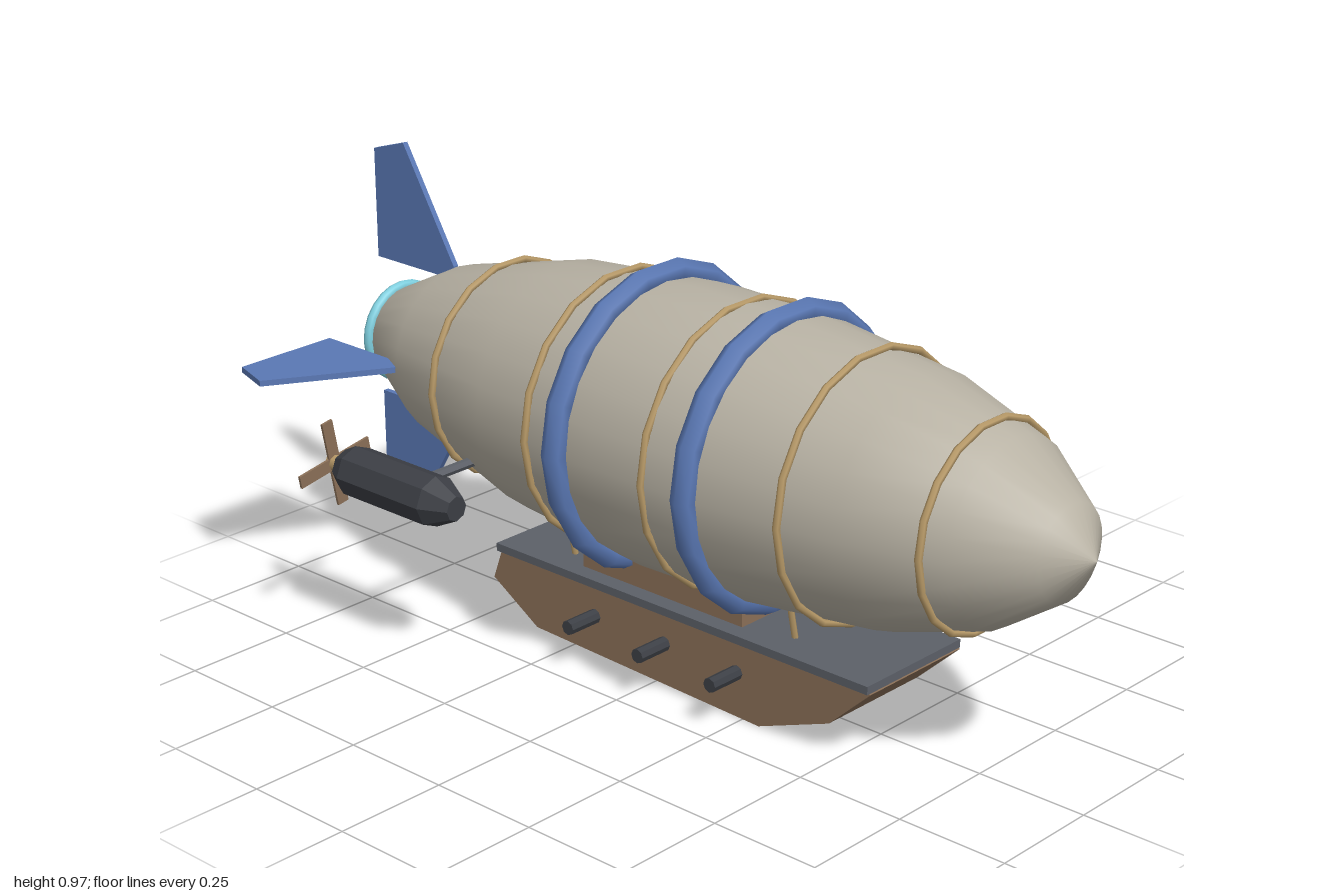
import * as THREE from 'three';

const AXIS_Y = 0.53;

const paint = (color, flatShading = false) => new THREE.MeshStandardMaterial({ color, flatShading });
const canvas = paint(0xb8b2a4);
const blue = paint(0x5a78b4);
const blueFlat = paint(0x5a78b4, true);
const rope = paint(0xb89a68);
const glow = paint(0x7fd0e0);
const wood = paint(0x8b7058, true);
const iron = paint(0x3c3f45, true);
const slate = paint(0x5c6068, true);

function add(parent, name, geometry, material, x = 0, y = 0, z = 0) {
  const mesh = new THREE.Mesh(geometry, material);
  mesh.name = name;
  mesh.position.set(x, y, z);
  parent.add(mesh);
  return mesh;
}

// Revolves [z, radius] pairs around the z axis, listed from back to front
function revolve(profile, sides) {
  const points = profile.map(([z, r]) => new THREE.Vector2(r, z));
  return new THREE.LatheGeometry(points, sides).rotateX(Math.PI / 2);
}

// Extrudes a [z, y] outline across x, centred
function slab(outline, width) {
  const shape = new THREE.Shape(outline.map(([z, y]) => new THREE.Vector2(z, y)));
  return new THREE.ExtrudeGeometry(shape, { depth: width, bevelEnabled: false })
    .translate(0, 0, -width / 2)
    .rotateY(-Math.PI / 2);
}

// Round bar between two points
function bar(parent, name, from, to, radius, material, sides = 6) {
  const a = new THREE.Vector3(...from);
  const b = new THREE.Vector3(...to);
  const mesh = add(parent, name, new THREE.CylinderGeometry(radius, radius, a.distanceTo(b), sides), material);
  mesh.position.copy(a).lerp(b, 0.5);
  mesh.quaternion.setFromUnitVectors(new THREE.Vector3(0, 1, 0), b.sub(a).normalize());
}

function createEngine() {
  const engine = new THREE.Group();
  engine.name = 'engine';
  const pod = [[-0.17, 0], [-0.17, 0.038], [-0.135, 0.056], [0.11, 0.056], [0.17, 0.027], [0.17, 0]];
  add(engine, 'enginePod', revolve(pod, 8), iron);
  add(engine, 'propellerHub', new THREE.CylinderGeometry(0.018, 0.018, 0.05, 8).rotateX(Math.PI / 2), rope, 0, 0, -0.19);
  const propeller = new THREE.Group();
  propeller.name = 'propeller';
  propeller.position.z = -0.205;
  propeller.rotation.z = 0.18;
  add(propeller, 'propellerBlade', new THREE.BoxGeometry(0.028, 0.196, 0.006), wood);
  add(propeller, 'propellerBlade', new THREE.BoxGeometry(0.196, 0.028, 0.006), wood);
  engine.add(propeller);
  return engine;
}

export function createModel() {
  const airship = new THREE.Group();
  airship.name = 'airship';

  // Gas envelope
  const hull = [[-1, 0], [-0.895, 0.097], [-0.71, 0.19], [-0.37, 0.275], [-0.02, 0.305],
    [0.245, 0.3], [0.58, 0.262], [0.8, 0.195], [0.94, 0.1], [1, 0]];
  add(airship, 'envelope', revolve(hull, 24), canvas, 0, AXIS_Y);

  // Rope hoops, broad bands and tail ring
  for (const [z, r] of [[0.75, 0.216], [0.46, 0.284], [0.125, 0.305], [-0.21, 0.295], [-0.545, 0.238]]) {
    add(airship, 'ropeHoop', new THREE.TorusGeometry(r, 0.008, 6, 18), rope, 0, AXIS_Y, z);
  }
  for (const [z, r] of [[0.24, 0.304], [-0.11, 0.308]]) {
    add(airship, 'envelopeBand', new THREE.TorusGeometry(r, 0.028, 6, 18), blue, 0, AXIS_Y, z);
  }
  add(airship, 'tailRing', new THREE.TorusGeometry(0.104, 0.012, 8, 24), glow, 0, AXIS_Y, -0.892);

  // Four tail fins
  const fin = slab([[-0.715, 0.16], [-0.715, 0.19], [-0.865, 0.44], [-0.96, 0.41], [-0.96, 0.16]], 0.013);
  for (let i = 0; i < 4; i++) {
    add(airship, 'tailFin', fin, blueFlat, 0, AXIS_Y).rotation.z = i * Math.PI / 2;
  }

  // Gondola with deck and pylon
  const keel = [[0.585, 0.168], [0.48, 0.07], [0.295, 0], [-0.34, 0.02], [-0.47, 0.1], [-0.445, 0.168]];
  add(airship, 'gondola', slab(keel, 0.283), wood);
  add(airship, 'deck', new THREE.BoxGeometry(0.294, 0.018, 1.035), slate, 0, 0.177, 0.063);
  add(airship, 'pylon', new THREE.BoxGeometry(0.216, 0.07, 0.45), wood, 0, 0.218, -0.005);

  // Side cannons
  for (const z of [0.235, 0.035, -0.165]) {
    for (const side of [-1, 1]) {
      bar(airship, 'cannon', [side * 0.1, 0.102, z], [side * 0.224, 0.102, z], 0.016, iron, 8);
    }
  }

  for (const side of [-1, 1]) {
    // Gondola struts
    for (const z of [0.33, -0.29]) {
      bar(airship, 'gondolaStrut', [side * 0.07, 0.18, z], [side * 0.088, 0.265, z], 0.007, rope);
    }
    // Engines on their outriggers
    bar(airship, 'engineStrut', [side * 0.19, 0.392, -0.46], [side * 0.4, 0.392, -0.46], 0.011, slate);
    const engine = createEngine();
    engine.position.set(side * 0.408, 0.393, -0.465);
    airship.add(engine);
  }

  return airship;
}
